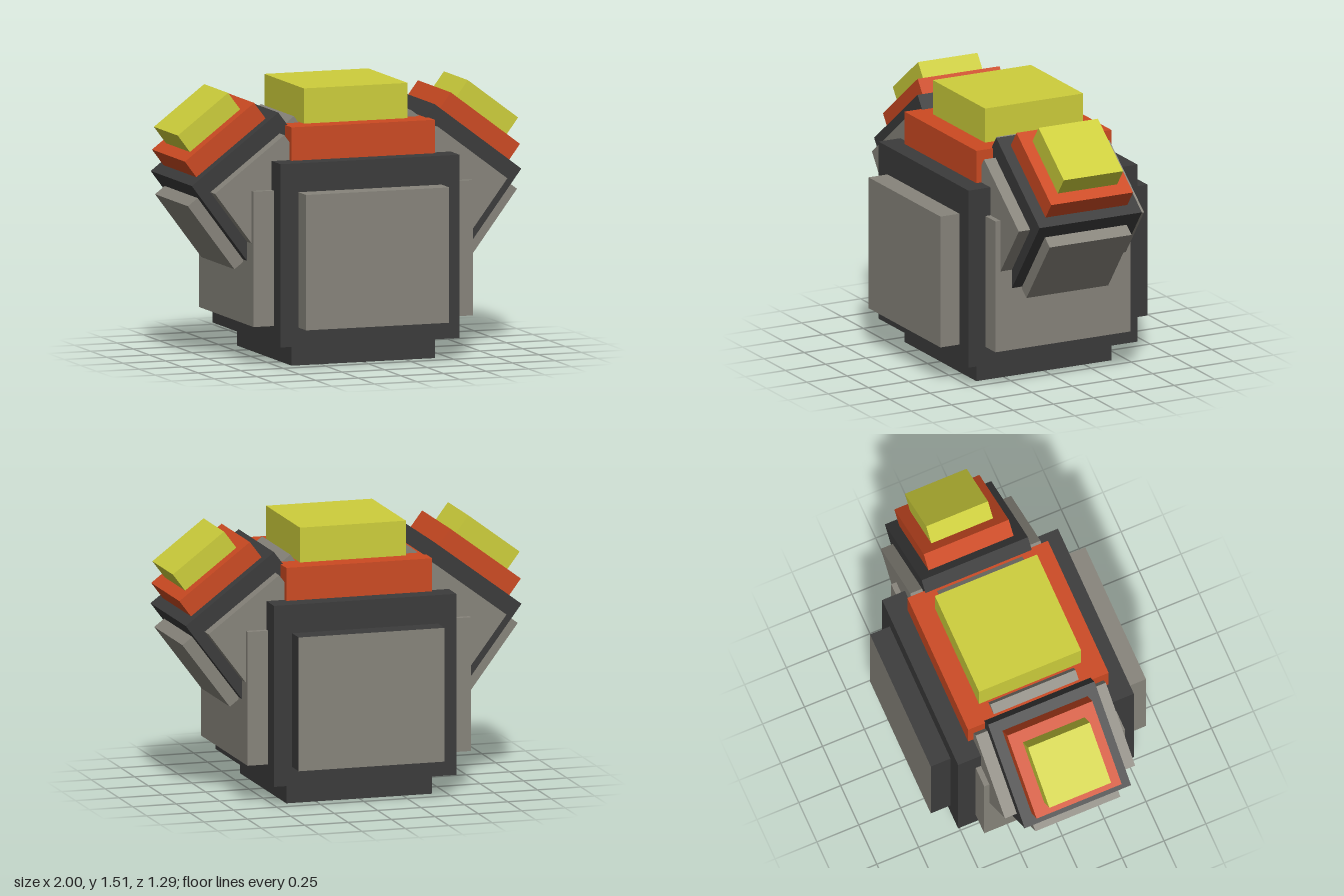
import * as THREE from 'three';

const paint = (name, hex) => {
  const m = new THREE.MeshStandardMaterial({ color: hex });
  m.name = name;
  return m;
};

export function createModel() {
  const dark = paint('charcoal', 0x3b3b3b);
  const grey = paint('warm grey', 0x87847b);
  const orange = paint('orange', 0xcc4a22);
  const yellow = paint('yellow', 0xcdce3b);

  const box = (parent, name, material, w, h, d, x, y, z) => {
    const mesh = new THREE.Mesh(new THREE.BoxGeometry(w, h, d), material);
    mesh.name = name;
    mesh.position.set(x, y, z);
    parent.add(mesh);
  };

  // One plated cube with a stepped cap; the block stands on its own y = 0
  const block = (name, backMaterial) => {
    const g = new THREE.Group();
    g.name = name;
    box(g, 'core', dark, 1.05, 1.015, 1.05, 0, 0.6275, 0);
    box(g, 'basePlate', dark, 0.84, 0.12, 0.84, 0, 0.06, 0);
    box(g, 'frontPlate', grey, 0.84, 0.75, 0.12, 0, 0.6, 0.583);
    box(g, 'backPlate', backMaterial, 0.84, 0.75, 0.12, 0, 0.6, -0.583);
    for (const [side, s] of [['left', 1], ['right', -1]]) {
      box(g, side + 'Plate', grey, 0.12, 0.75, 0.84, s * 0.583, 0.6, 0);
    }
    box(g, 'capLower', orange, 0.84, 0.185, 0.84, 0, 1.2275, 0);
    box(g, 'capUpper', yellow, 0.61, 0.195, 0.61, 0, 1.4175, 0);
    return g;
  };

  const model = new THREE.Group();
  model.name = 'model';

  // Main body: the back plate has dark edges around a grey face
  model.add(block('body', [dark, dark, dark, dark, dark, grey]));

  // Smaller tilted copies sunk into both sides
  for (const [side, s] of [['left', 1], ['right', -1]]) {
    const pod = block(side + 'Pod', grey);
    pod.scale.setScalar(0.605);
    pod.position.set(s * 0.3, 0.651, 0);
    pod.rotation.z = -s * 0.645;
    model.add(pod);
  }
  return model;
}
